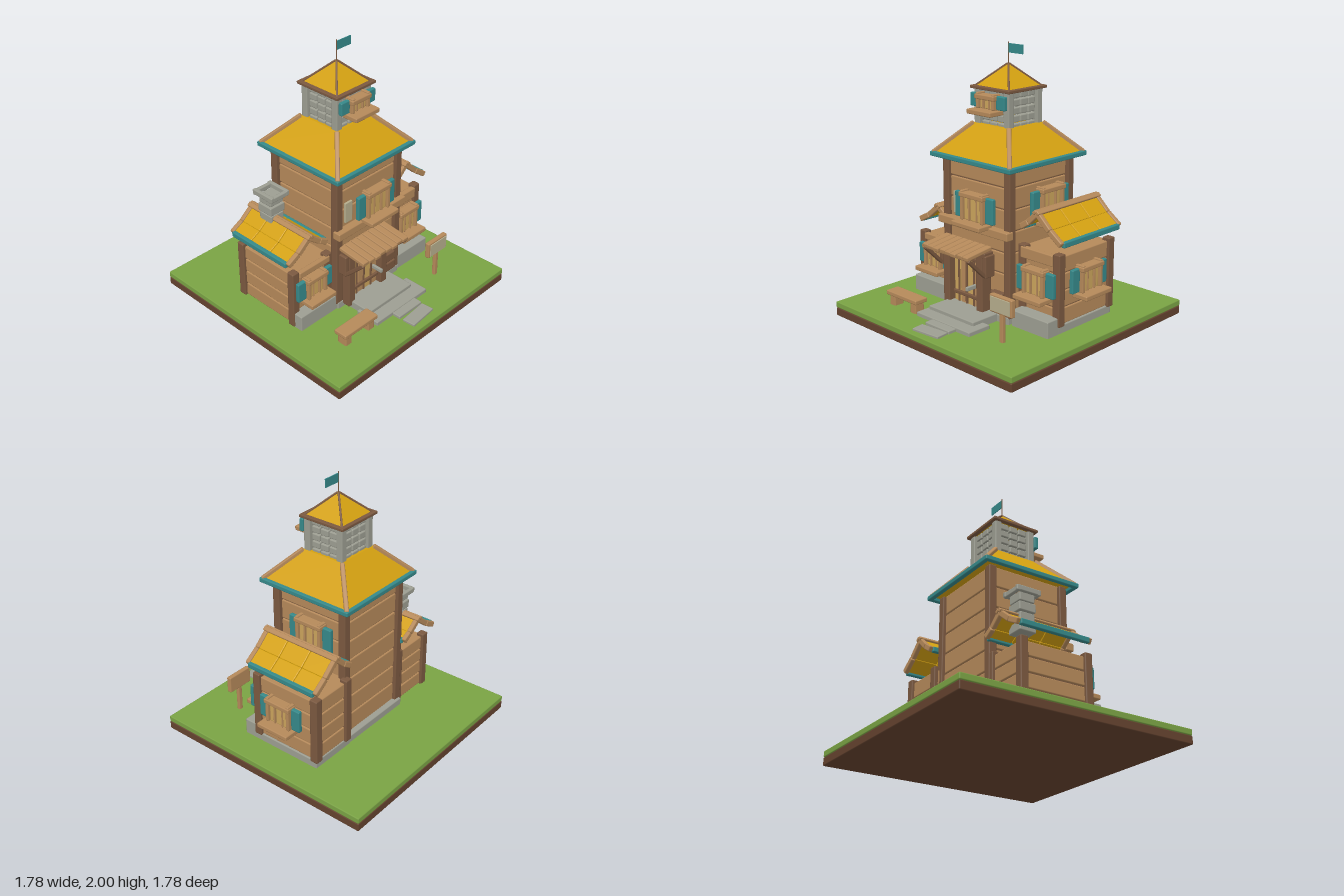
import * as THREE from 'three';
import { RoundedBoxGeometry } from 'three/addons/geometries/RoundedBoxGeometry.js';

const mat = (name, color, extra = {}) => {
  const m = new THREE.MeshStandardMaterial({ color, ...extra });
  m.name = name;
  return m;
};

export function createModel() {
  const grass = mat('grass', 0x7aa344), soil = mat('soil', 0x65432f), timber = mat('dark timber', 0x7b5940);
  const plank = mat('plank wood', 0xb5895a), pane = mat('pale wood', 0xcba45c), teal = mat('teal paint', 0x36898a);
  const gold = mat('gold roof', 0xd3a011, { flatShading: true }), stone = mat('stone', 0x9d9e92);
  const plaster = mat('plaster', 0xb5ad8c), flagMat = mat('flag cloth', 0x36898a, { side: THREE.DoubleSide });
  const root = new THREE.Group();

  const group = (name, parent = root) => {
    const g = new THREE.Group();
    g.name = name;
    parent.add(g);
    return g;
  };
  const solid = (parent, name, m, w, h, d) => {
    const mesh = new THREE.Mesh(new RoundedBoxGeometry(w, h, d, 1, Math.min(0.008, Math.min(w, h, d) * 0.25)), m);
    mesh.name = name;
    parent.add(mesh);
    return mesh;
  };
  // Box given by its bounds on each axis
  const box = (parent, name, m, x0, x1, y0, y1, z0, z1) => {
    const mesh = solid(parent, name, m, x1 - x0, y1 - y0, z1 - z0);
    mesh.position.set((x0 + x1) / 2, (y0 + y1) / 2, (z0 + z1) / 2);
    return mesh;
  };
  // Bar running between two points
  const beam = (parent, name, m, a, b, w, h) => {
    const p = new THREE.Vector3(...a), q = new THREE.Vector3(...b);
    const mesh = solid(parent, name, m, w, h, p.distanceTo(q));
    mesh.position.copy(p).add(q).multiplyScalar(0.5);
    mesh.lookAt(q);
    return mesh;
  };
  // Stacked boards around a dark core
  const plankedWalls = (parent, x0, x1, y0, y1, z0, z1, n) => {
    const h = (y1 - y0) / n, i = 0.012;
    box(parent, 'wallCore', timber, x0 + i, x1 - i, y0, y1 - i, z0 + i, z1 - i);
    for (let k = 0; k < n; k++) box(parent, 'wallBoard', plank, x0, x1, y0 + k * h + 0.004, y0 + (k + 1) * h - 0.004, z0, z1);
  };
  // Square posts of size s at the four outer corners
  const cornerPosts = (parent, m, x0, x1, y0, y1, z0, z1, s) => {
    for (const x of [x0, x1 - s]) for (const z of [z0, z1 - s]) box(parent, 'cornerPost', m, x, x + s, y0, y1, z, z + s);
  };
  // Shuttered window facing local +z, with its sill top at local y = 0
  const windowUnit = (name, w, h, x, y, z, turn = 0, shutter = 0.075) => {
    const g = group(name), half = w / 2;
    for (let k = 0; k < 3; k++) {
      const a = -half + 0.02 + k * (w - 0.04) / 3;
      box(g, 'pane', pane, a + 0.003, a + (w - 0.04) / 3 - 0.003, 0, h - 0.02, 0, 0.05);
    }
    for (const s of [-1, 1]) {
      box(g, 'jamb', plank, s * (half - 0.012) - 0.013, s * (half - 0.012) + 0.013, 0, h, 0, 0.07);
      const c = s * (half + shutter / 2);
      box(g, 'shutter', teal, c - shutter / 2, c + shutter / 2, h * 0.03, h * 0.9, 0.012, 0.045);
      box(g, 'mullion', plank, s * w * 0.17 - 0.006, s * w * 0.17 + 0.006, 0, h * 0.9, 0.03, 0.058);
    }
    box(g, 'header', plank, -half - 0.008, half + 0.008, h - 0.045, h - 0.01, 0, 0.078);
    box(g, 'sill', plank, -half - 0.03, half + 0.03, -0.035, 0, 0, 0.13);
    g.position.set(x, y, z);
    g.rotation.y = turn;
  };
  // Bent gable roof with ridge along z; each side is a list of [x, y] points from the ridge down
  const gableRoof = (name, sides, z0, z1) => {
    const g = group(name);
    for (const pts of sides) {
      for (let k = 0; k < pts.length - 1; k++) {
        const [a, b] = [pts[k], pts[k + 1]], len = (z1 - z0 - 0.02) / 3;
        for (let j = 0; j < 3; j++) {
          const z = z0 + 0.01 + (j + 0.5) * len;
          beam(g, 'roofPanel', gold, [...a, z], [...b, z], len - 0.004, 0.022);
        }
        for (const z of [z0 + 0.015, z1 - 0.015]) beam(g, 'bargeBoard', plank, [...a, z], [...b, z], 0.035, 0.042);
      }
      const [ex, ey] = pts[pts.length - 1];
      box(g, 'eaveTrim', teal, ex - 0.017, ex + 0.017, ey - 0.02, ey + 0.02, z0 + 0.025, z1 - 0.025);
      const [p, q] = pts, t = 0.035 / Math.hypot(q[0] - p[0], q[1] - p[1]);
      const r = [p[0] + (q[0] - p[0]) * t, p[1] + (q[1] - p[1]) * t + 0.02];
      beam(g, 'ridgeCap', plank, [p[0], p[1] + 0.02, (z0 + z1) / 2], [...r, (z0 + z1) / 2], z1 - z0 + 0.02, 0.025);
    }
  };
  // Square hip roof with bars along its four hips
  const hipRoof = (name, y0, y1, r0, r1, hipMat, size) => {
    const g = group(name);
    const geo = new THREE.CylinderGeometry(r1 * Math.SQRT2, r0 * Math.SQRT2, y1 - y0, 4, 1).rotateY(Math.PI / 4);
    const mesh = new THREE.Mesh(geo, gold);
    mesh.name = 'roofSlopes';
    mesh.position.y = (y0 + y1) / 2;
    g.add(mesh);
    for (const sx of [-1, 1]) for (const sz of [-1, 1])
      beam(g, 'hipBar', hipMat, [sx * r0, y0, sz * r0], [sx * r1, y1, sz * r1], size, size);
    return g;
  };
  const eaveFrame = (parent, m, r, w, y0, y1) => {
    for (const s of [-1, 1]) {
      const a = s * (r - w / 2);
      box(parent, 'eaveTrim', m, -r, r, y0, y1, a - w / 2, a + w / 2);
      box(parent, 'eaveTrim', m, a - w / 2, a + w / 2, y0, y1, -r, r);
    }
  };

  // Ground slab
  box(root, 'soilBase', soil, -0.89, 0.89, 0, 0.062, -0.89, 0.89);
  box(root, 'lawn', grass, -0.89, 0.89, 0.062, 0.108, -0.89, 0.89);

  // Main tower
  const tower = group('tower');
  box(tower, 'foundation', stone, -0.32, 0.32, 0.1, 0.16, -0.345, 0.33);
  plankedWalls(tower, -0.3, 0.3, 0.15, 1.22, -0.3, 0.3, 7);
  cornerPosts(tower, timber, -0.33, 0.33, 0.15, 1.21, -0.325, 0.325, 0.06);
  box(tower, 'floorBeam', plank, -0.345, 0.34, 0.72, 0.78, 0.3, 0.365);
  box(tower, 'plasterPatch', plaster, -0.235, -0.165, 0.8, 0.96, 0.295, 0.315);
  windowUnit('towerFrontWindow', 0.22, 0.21, 0.025, 0.8, 0.325);
  windowUnit('towerSideWindow', 0.22, 0.24, 0.325, 0.81, -0.045, Math.PI / 2);
  eaveFrame(hipRoof('mainRoof', 1.225, 1.44, 0.375, 0.17, plank, 0.032), teal, 0.392, 0.035, 1.2, 1.235);

  // Stone lookout with loose-set blocks and a bell
  const lookout = group('lookout');
  cornerPosts(lookout, stone, -0.168, 0.168, 1.4, 1.69, -0.168, 0.168, 0.053);
  for (let side = 0; side < 4; side++) {
    const wall = group('blockWall', lookout);
    wall.rotation.y = side * Math.PI / 2;
    for (let r = 0; r < 5; r++) for (let c = -1; c < 2; c++)
      box(wall, 'block', stone, c * 0.076 - 0.034, c * 0.076 + 0.034, 1.412 + r * 0.056, 1.46 + r * 0.056, 0.115, 0.152);
  }
  const bell = new THREE.Mesh(new THREE.CylinderGeometry(0.025, 0.055, 0.09, 8), gold);
  bell.name = 'bell';
  bell.position.y = 1.5;
  lookout.add(bell);
  windowUnit('lookoutWindow', 0.17, 0.11, 0, 1.56, 0.165, 0, 0.08);
  eaveFrame(hipRoof('lookoutRoof', 1.695, 1.85, 0.165, 0.004, timber, 0.014), timber, 0.19, 0.035, 1.68, 1.702);
  const pole = new THREE.Mesh(new THREE.CylinderGeometry(0.004, 0.004, 0.16, 6), timber);
  pole.name = 'flagPole';
  pole.position.y = 1.92;
  root.add(pole);
  const flag = new THREE.Mesh(new THREE.BoxGeometry(0.135, 0.064, 0.006), flagMat);
  flag.name = 'flag';
  flag.position.set(0.07, 1.957, 0);
  root.add(flag);

  // Chimney-side wing
  const small = group('smallWing');
  plankedWalls(small, -0.66, -0.3, 0.11, 0.54, -0.3, 0.23, 4);
  cornerPosts(small, timber, -0.68, -0.3, 0.11, 0.56, -0.32, 0.25, 0.06);
  box(small, 'topBeam', plank, -0.62, -0.33, 0.5, 0.55, 0.22, 0.26);
  box(small, 'stoneFooting', stone, -0.67, -0.28, 0.1, 0.225, 0.22, 0.315);
  windowUnit('smallWingWindow', 0.18, 0.175, -0.492, 0.32, 0.235);
  gableRoof('smallWingRoof', [[[-0.495, 0.77], [-0.6, 0.685], [-0.695, 0.635]], [[-0.495, 0.77], [-0.4, 0.695], [-0.33, 0.655]]], -0.36, 0.235);

  // Larger wing
  const large = group('largeWing');
  box(large, 'foundation', stone, 0.3, 0.67, 0.1, 0.165, -0.35, 0.21);
  plankedWalls(large, 0.3, 0.66, 0.16, 0.65, -0.345, 0.195, 4);
  cornerPosts(large, timber, 0.3, 0.68, 0.155, 0.67, -0.365, 0.215, 0.062);
  box(large, 'topBeam', plank, 0.33, 0.62, 0.58, 0.66, 0.18, 0.225);
  box(large, 'stoneFooting', stone, 0.335, 0.67, 0.1, 0.225, 0.2, 0.315);
  windowUnit('largeWingFrontWindow', 0.19, 0.2, 0.495, 0.36, 0.215);
  windowUnit('largeWingSideWindow', 0.21, 0.195, 0.672, 0.375, -0.06, Math.PI / 2);
  gableRoof('largeWingRoof', [[[0.49, 0.925], [0.6, 0.825], [0.705, 0.75]], [[0.49, 0.925], [0.41, 0.85], [0.34, 0.805]]], -0.39, 0.24);

  // Chimney
  const chimney = group('chimney');
  for (let k = 0; k < 4; k++) {
    const r = k % 2 ? 0.06 : 0.066;
    box(chimney, 'chimneyBlock', stone, -0.48 - r, -0.48 + r, 0.665 + k * 0.072, 0.73 + k * 0.072, -0.165 - r, -0.165 + r);
  }
  for (const s of [-1, 1]) {
    box(chimney, 'capStone', stone, -0.48 + s * 0.07 - 0.015, -0.48 + s * 0.07 + 0.015, 0.938, 0.978, -0.262, -0.068);
    box(chimney, 'capStone', stone, -0.565, -0.395, 0.935, 0.972, -0.165 + s * 0.08 - 0.015, -0.165 + s * 0.08 + 0.015);
  }

  // Door, porch posts and canopy
  const porch = group('porch');
  for (let k = 0; k < 4; k++) box(porch, 'doorBoard', k % 2 ? plank : pane, -0.2 + k * 0.067, -0.136 + k * 0.067, 0.15, 0.57, 0.29, 0.345);
  for (const y of [0.22, 0.5]) box(porch, 'doorStrap', timber, -0.2, 0.066, y, y + 0.028, 0.33, 0.362);
  for (const x of [-0.15, -0.075, 0.0]) box(porch, 'doorBatten', timber, x - 0.008, x + 0.008, 0.16, 0.56, 0.33, 0.352);
  box(porch, 'doorHandle', stone, 0.008, 0.03, 0.305, 0.335, 0.345, 0.44);
  for (const x of [-0.27, 0.063]) box(porch, 'doorPost', timber, x, x + 0.063, 0.13, 0.58, 0.3, 0.39);
  box(porch, 'lintel', timber, -0.29, 0.15, 0.56, 0.6, 0.3, 0.39);
  for (const x of [-0.29, 0.145]) {
    box(porch, 'wallBracket', timber, x - 0.018, x + 0.018, 0.42, 0.58, 0.3, 0.39);
    beam(porch, 'canopyBrace', timber, [x, 0.435, 0.385], [x, 0.585, 0.54], 0.028, 0.028);
  }
  for (let k = 0; k < 8; k++) {
    const x = -0.277 + k * 0.058;
    beam(porch, 'canopyBoard', plank, [x, 0.625, 0.32], [x, 0.597, 0.55 + (k % 3) * 0.006], 0.054, 0.03);
  }
  box(porch, 'canopyEdge', plank, -0.3, 0.15, 0.575, 0.595, 0.51, 0.54);

  // Wall repair boards by the door
  box(root, 'repairBoard', timber, 0.155, 0.27, 0.255, 0.325, 0.295, 0.345);
  box(root, 'repairBoard', timber, 0.165, 0.275, 0.17, 0.245, 0.295, 0.345);

  // Steps and path stones
  const steps = group('steps');
  box(steps, 'upperStep', stone, -0.24, 0.21, 0.1, 0.165, 0.3, 0.56);
  box(steps, 'lowerStep', stone, -0.265, 0.27, 0.1, 0.138, 0.46, 0.655);
  box(steps, 'pathStone', stone, -0.1, 0.14, 0.1, 0.13, 0.64, 0.72);
  box(steps, 'pathStone', stone, -0.095, 0.14, 0.1, 0.124, 0.735, 0.835).rotation.y = 0.09;

  // Bench
  const bench = group('bench');
  box(bench, 'seat', plank, -0.59, -0.265, 0.182, 0.215, 0.55, 0.66);
  for (const x of [-0.57, -0.345]) box(bench, 'leg', plank, x, x + 0.06, 0.1, 0.185, 0.565, 0.645);

  // Notice board
  const sign = group('noticeBoard');
  box(sign, 'post', plank, 0.468, 0.502, 0.1, 0.4, 0.54, 0.57);
  box(sign, 'board', plank, 0.38, 0.587, 0.305, 0.43, 0.535, 0.572);
  box(sign, 'panel', plaster, 0.395, 0.572, 0.317, 0.418, 0.572, 0.58);
  return root;
}
